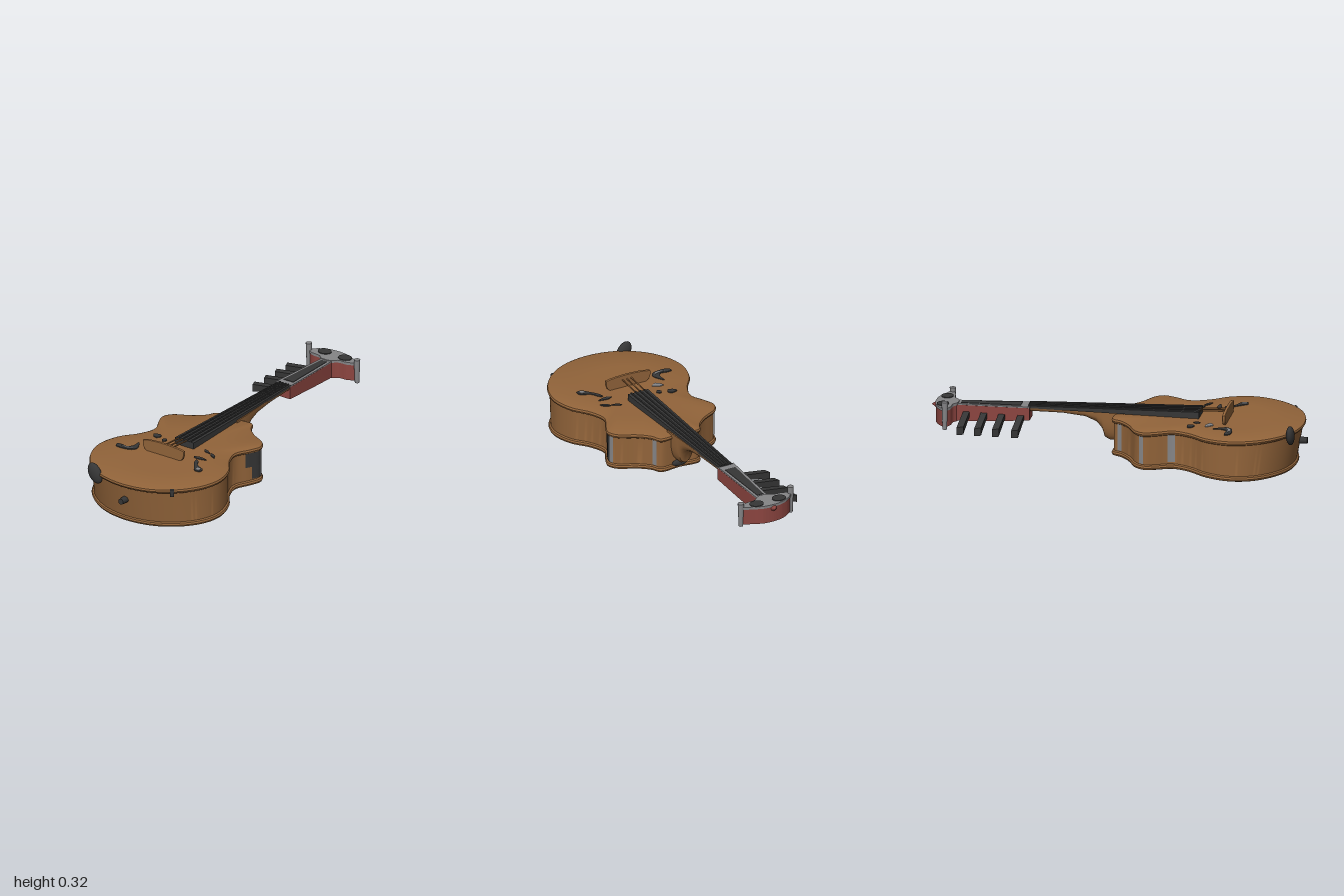
import * as THREE from 'three';
import { toCreasedNormals } from 'three/addons/utils/BufferGeometryUtils.js';

const mat = (name, color, side = THREE.FrontSide) => {
  const m = new THREE.MeshStandardMaterial({ color, side });
  m.name = name;
  return m;
};
const V = (x, y, z) => new THREE.Vector3(x, y, z);

// Skin a list of equal-length rings; optional flat end caps
function loft(rings, caps = false, crease = 0.6) {
  if (caps) {
    const mid = r => {
      const c = r.reduce((a, p) => a.add(p), V(0, 0, 0)).divideScalar(r.length);
      return r.map(() => c);
    };
    rings = [mid(rings[0]), ...rings, mid(rings[rings.length - 1])];
  }
  const n = rings[0].length, pos = [], idx = [];
  rings.forEach(r => r.forEach(p => pos.push(p.x, p.y, p.z)));
  for (let i = 0; i < rings.length - 1; i++) {
    for (let j = 0; j < n; j++) {
      const k = (j + 1) % n, a = i * n + j, b = i * n + k, c = b + n, d = a + n;
      idx.push(a, b, c, a, c, d);
    }
  }
  const g = new THREE.BufferGeometry();
  g.setAttribute('position', new THREE.Float32BufferAttribute(pos, 3));
  g.setIndex(idx);
  return toCreasedNormals(g, crease);
}

// Box-section bar from stations [z, left, right, bottom, top], running towards -z
const bar = stations => loft(stations.map(([z, l, r, b, t]) =>
  [V(r, t, z), V(r, b, z), V(l, b, z), V(l, t, z)]), true);

// Horizontal slab from a smooth outline in (x, z), hanging down from y
function slab(points, y, depth) {
  const curve = new THREE.CatmullRomCurve3(points.map(p => V(p[0], p[1], 0)), true, 'catmullrom', 0.4);
  const shape = new THREE.Shape(curve.getPoints(48).map(p => new THREE.Vector2(p.x, p.y)));
  const g = new THREE.ExtrudeGeometry(shape, { depth, bevelEnabled: false });
  return g.rotateX(Math.PI / 2).translate(0, y, 0);
}

export function createModel() {
  const wood = mat('wood', 0x92643a);
  const black = mat('black', 0x363636, THREE.DoubleSide);
  const grey = mat('grey', 0x858587, THREE.DoubleSide);
  const red = mat('red', 0x8c4540);
  const model = new THREE.Group();
  const add = (name, geometry, material) => {
    const m = new THREE.Mesh(geometry, material);
    m.name = name;
    model.add(m);
    return m;
  };

  // Body outline: waisted, mirrored half profile
  const half = [[0.16, 0.955], [0.28, 0.875], [0.36, 0.76], [0.387, 0.64], [0.358, 0.52], [0.29, 0.42],
    [0.262, 0.33], [0.3, 0.245], [0.32, 0.185], [0.295, 0.135], [0.2, 0.08], [0.145, 0.03], [0.115, -0.02]];
  const pts = [[0, 0.985], ...half, [0, -0.015], ...half.slice().reverse().map(([x, z]) => [-x, z])];
  const curve = new THREE.CatmullRomCurve3(pts.map(([x, z]) => V(x, 0, z)), true, 'centripetal');
  const outline = Array.from({ length: 240 }, (_, i) => {
    const p = curve.getPointAt(i / 240), t = curve.getTangentAt(i / 240);
    return { p, n: V(-t.z, 0, t.x) };
  });
  const TOP = 0.248;
  const base = z => 0.04 - 0.03 * z;
  const edgePoint = ({ p, n }, d, y) => {
    const s = THREE.MathUtils.smoothstep(p.z, 0.6, 1);
    return V(p.x + n.x * d, y, p.z + n.z * d - 0.045 * s * (1 - y / TOP));
  };

  // Ribs, overhanging rims and bulged plates in one skin
  const rim = [[-0.014, 0], [-0.002, 0.005], [0.002, 0.015], [-0.002, 0.025], [-0.01, 0.03]];
  const lower = rim.map(([d, h]) => outline.map(o => edgePoint(o, d, base(o.p.z) + h)));
  const upper = rim.slice().reverse().map(([d, h]) => outline.map(o => edgePoint(o, d, TOP - h)));
  const inner = (ring, s, dy) => ring.map(p => V(p.x * s, p.y + dy, 0.52 + (p.z - 0.52) * s));
  const centre = y => outline.map(() => V(0, y, 0.52));
  add('body', loft([centre(0), inner(lower[0], 0.5, -0.015), ...lower, ...upper,
    inner(upper[4], 0.6, 0.002), centre(TOP + 0.003)]), wood);

  // Painted patches on the ribs
  const patch = (name, side, z0, z1, y0, y1, material, lift) => {
    const os = outline.filter(({ p }) => p.x * side > 0.1 && p.z >= z0 && p.z <= z1);
    const pos = [], idx = [];
    os.forEach((o, i) => {
      const a = edgePoint(o, lift - 0.01, y0), b = edgePoint(o, lift - 0.01, y1);
      pos.push(a.x, a.y, a.z, b.x, b.y, b.z);
      if (i) idx.push(2 * i - 2, 2 * i, 2 * i + 1, 2 * i - 2, 2 * i + 1, 2 * i - 1);
    });
    const g = new THREE.BufferGeometry();
    g.setAttribute('position', new THREE.Float32BufferAttribute(pos, 3));
    g.setIndex(idx);
    g.computeVertexNormals();
    add(name, g, material);
  };
  patch('ribPatchUpper', 1, 0.15, 0.28, 0.14, 0.22, black, 0.003);
  patch('ribPatchLower', 1, 0.15, 0.24, 0.07, 0.14, black, 0.003);
  for (const s of [1, -1]) {
    patch('cornerStrip', s, 0.15, 0.18, 0.07, 0.22, grey, 0.005);
    patch('shoulderStrip', s, 0.0, 0.035, 0.075, 0.22, grey, 0.003);
  }
  patch('waistStrip', -1, 0.3, 0.34, 0.07, 0.22, grey, 0.003);

  // Neck with curved heel: [z, centre x, half width, top, bottom]
  const neck = [[0.03, 0.003, 0.05, 0.26, 0.09], [-0.05, 0.001, 0.05, 0.26, 0.09], [-0.078, 0, 0.048, 0.26, 0.105],
    [-0.09, 0, 0.047, 0.26, 0.15], [-0.12, -0.001, 0.045, 0.26, 0.188], [-0.18, -0.003, 0.043, 0.26, 0.215],
    [-0.3, -0.008, 0.041, 0.26, 0.23], [-0.49, -0.015, 0.039, 0.26, 0.232]];
  add('neck', loft(neck.map(([z, x, w, t, b]) => Array.from({ length: 17 }, (_, i) => {
    const a = i / 16 * Math.PI;
    return V(x + w * Math.cos(a), t - (t - b) * Math.pow(Math.max(0, Math.sin(a)), 0.6), z);
  })), true), wood);
  const heelCap = add('heelPatch', new THREE.SphereGeometry(1, 20, 12), black);
  heelCap.scale.set(0.045, 0.02, 0.012);
  heelCap.position.set(0, 0.075, -0.014);

  // Fingerboard with raised strings, then free strings to the bridge
  add('fingerboard', bar([[0.43, -0.058, 0.063, 0.25, 0.286], [-0.48, -0.055, 0.026, 0.255, 0.267]]), black);
  for (let i = 0; i < 4; i++) {
    const a = -0.036 + i * 0.026, b = -0.042 + i * 0.018, r = 0.004;
    add('stringRidge', bar([[0.43, a - r, a + r, 0.284, 0.292], [-0.48, b - r, b + r, 0.265, 0.272]]), black);
    if (i < 3) add('string', bar([[0.58, a - 0.003, a + 0.003, 0.292, 0.297],
      [0.42, a - 0.003, a + 0.003, 0.284, 0.289]]), wood);
  }

  // Bridge: thin upright plate with rounded ends
  const b = new THREE.Shape();
  b.moveTo(-0.115, 0.248);
  b.lineTo(0.08, 0.248);
  b.bezierCurveTo(0.1, 0.255, 0.112, 0.27, 0.11, 0.305);
  b.bezierCurveTo(0.06, 0.318, -0.09, 0.32, -0.15, 0.303);
  b.bezierCurveTo(-0.152, 0.275, -0.145, 0.255, -0.115, 0.248);
  const bridge = new THREE.ExtrudeGeometry(b, { depth: 0.008, bevelThickness: 0.004, bevelSize: 0.003, bevelSegments: 2 });
  add('bridge', bridge.translate(0, 0, 0.575), wood);

  // Sound hole ornaments as thin inlays
  const inlay = (name, p, m, y = 0.254) => add(name, slab(p, y, 0.005), m);
  inlay('leftCrescent', [[-0.3, 0.61], [-0.27, 0.605], [-0.235, 0.61], [-0.215, 0.58], [-0.215, 0.535],
    [-0.195, 0.56], [-0.18, 0.6], [-0.2, 0.63], [-0.25, 0.64], [-0.29, 0.635]], black);
  inlay('leftCrescentFill', [[-0.265, 0.62], [-0.22, 0.615], [-0.195, 0.605], [-0.22, 0.627]], grey, 0.256);
  inlay('leftDot', [[-0.185, 0.49], [-0.155, 0.485], [-0.125, 0.505], [-0.155, 0.525]], grey);
  inlay('leftLeaf', [[-0.215, 0.4], [-0.18, 0.39], [-0.165, 0.41], [-0.18, 0.43], [-0.205, 0.42]], black);
  inlay('leftBud', [[-0.14, 0.43], [-0.125, 0.415], [-0.11, 0.43], [-0.125, 0.45]], black);
  inlay('rightStem', [[0.155, 0.53], [0.175, 0.54], [0.2, 0.58], [0.25, 0.605], [0.255, 0.635],
    [0.225, 0.64], [0.195, 0.605], [0.165, 0.565]], black);
  inlay('rightStemFill', [[0.22, 0.61], [0.24, 0.61], [0.245, 0.63], [0.225, 0.63]], grey, 0.256);
  inlay('rightLeaf', [[0.115, 0.4], [0.14, 0.405], [0.165, 0.425], [0.13, 0.42]], black);
  inlay('rightBud', [[0.17, 0.42], [0.2, 0.43], [0.215, 0.455], [0.18, 0.44]], black);
  inlay('rightDot', [[0.12, 0.505], [0.15, 0.49], [0.2, 0.5], [0.15, 0.515]], black);

  // Chin rest, tail button and rim clip
  const chin = add('chinRest', new THREE.SphereGeometry(1, 24, 16), black);
  chin.scale.set(0.04, 0.059, 0.022);
  chin.rotation.z = 0.5;
  chin.position.set(-0.2, 0.234, 0.943);
  const button = add('tailButton', new THREE.CylinderGeometry(0.016, 0.019, 0.045, 16), black);
  button.rotation.x = Math.PI / 2;
  button.position.set(0.007, 0.145, 0.975);
  const clip = add('rimClip', new THREE.BoxGeometry(0.022, 0.042, 0.012), black);
  clip.position.set(0.26, 0.225, 0.888);
  clip.rotation.y = 0.6;

  // Pegbox with worn top and dark slot
  add('pegbox', bar([[-0.47, -0.067, 0.028, 0.19, 0.258], [-0.68, -0.062, 0.02, 0.175, 0.254],
    [-0.9, -0.053, 0.008, 0.16, 0.25]]), red);
  add('pegboxTop', bar([[-0.47, -0.067, 0.028, 0.258, 0.265], [-0.88, -0.053, 0.01, 0.25, 0.257]]), grey);
  add('pegboxSlot', bar([[-0.52, -0.05, 0.012, 0.26, 0.267], [-0.84, -0.04, -0.003, 0.252, 0.26]]), black);

  // Four tuning pegs, flaring to slanted tips
  for (const z of [-0.515, -0.617, -0.712, -0.806]) {
    const w = 0.015;
    add('peg', loft([[-0.05, 0.205, 0.013, 0], [-0.22, 0.175, 0.019, 0.012], [-0.237, 0.17, 0.021, 0.013]]
      .map(([x, y, h, skew]) => [V(x, y + h, z + w), V(x, y - h, z + w),
        V(x - skew, y - h, z - w - 0.004), V(x - skew, y + h, z - w - 0.004)].reverse()).map(r => r.reverse()), true), black);
  }

  // Winged head: red skirt, grey top, dark scrolls and end posts
  const wing = [[-0.17, -0.905], [-0.13, -0.945], [-0.08, -0.968], [-0.03, -0.975], [0.03, -0.97], [0.08, -0.95],
    [0.145, -0.92], [0.09, -0.89], [0.04, -0.885], [0, -0.855], [-0.05, -0.855], [-0.08, -0.875], [-0.13, -0.88]];
  add('headSkirt', slab(wing.map(([x, z]) => [x * 0.96, z * 0.97 - 0.027]), 0.25, 0.09), red);
  add('headTop', slab(wing, 0.262, 0.014), grey);
  for (const [x, z] of [[-0.083, -0.928], [0.05, -0.928]]) {
    const scroll = add('headScroll', new THREE.CylinderGeometry(0.032, 0.032, 0.008, 20), black);
    scroll.scale.x = 1.2;
    scroll.position.set(x, 0.262, z);
  }
  for (const [x, z, top] of [[-0.167, -0.903, 0.3], [0.137, -0.915, 0.282]]) {
    const post = add('headPost', new THREE.CylinderGeometry(0.017, 0.012, top - 0.15, 12), grey);
    post.position.set(x, (top + 0.15) / 2, z);
  }
  const peak = add('headPeak', new THREE.ConeGeometry(0.022, 0.03, 8), red);
  peak.rotation.x = -Math.PI / 2;
  peak.position.set(-0.028, 0.24, -0.982);
  return model;
}
